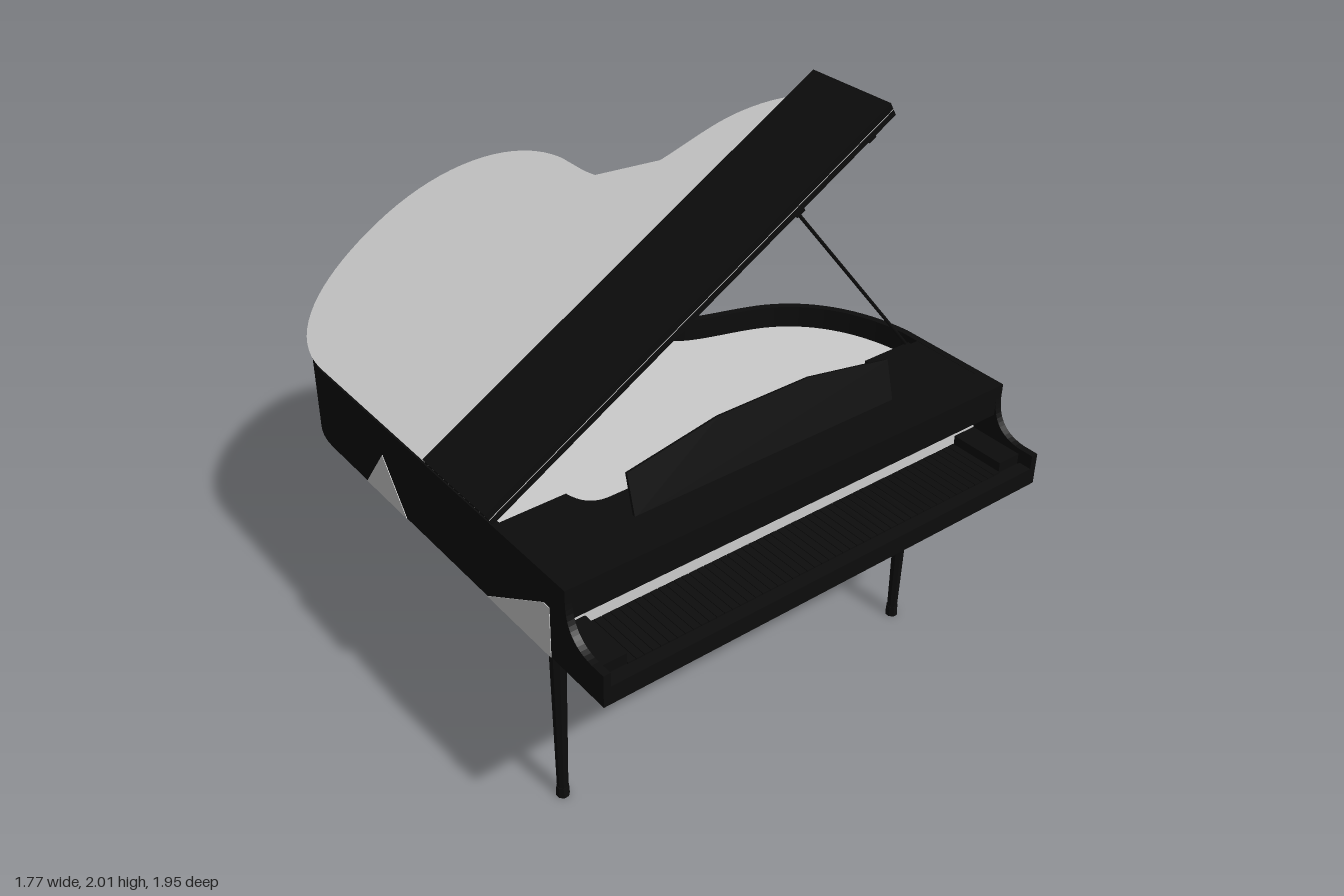
import * as THREE from 'three';

const BLACK = 0x0c0c0c;
const mat = (color) => new THREE.MeshStandardMaterial({ color, side: THREE.DoubleSide });
const black = mat(BLACK), grey = mat(0xcccccc), gold = mat(0x5c4f1e);
const legBlack = mat(BLACK);
legBlack.flatShading = true;

const BOTTOM = 0.785, TOP = 1.08, L = -0.865, R = 0.885, JOIN = 0.43;

function add(parent, name, geometry, material, x = 0, y = 0, z = 0) {
  const mesh = new THREE.Mesh(geometry, material);
  mesh.name = name;
  mesh.position.set(x, y, z);
  parent.add(mesh);
  return mesh;
}

// box given by its limits
function block(parent, name, material, x0, x1, y0, y1, z0, z1) {
  return add(parent, name, new THREE.BoxGeometry(x1 - x0, y1 - y0, z1 - z0), material,
    (x0 + x1) / 2, (y0 + y1) / 2, (z0 + z1) / 2);
}

// horizontal plate from an outline of (x, z) points
function plate(parent, name, material, points, y0, y1) {
  const shape = new THREE.Shape(points.map((p) => new THREE.Vector2(p.x, -p.y)));
  const g = new THREE.ExtrudeGeometry(shape, { depth: y1 - y0, bevelEnabled: false });
  g.rotateX(-Math.PI / 2);
  return add(parent, name, g, material, 0, y0, 0);
}

// upright plate from a shape in (z, y), spanning x0 to x1
function sidePlate(parent, name, material, shape, x0, x1) {
  const g = new THREE.ExtrudeGeometry(shape, { depth: x1 - x0, bevelEnabled: false, curveSegments: 12 });
  g.rotateY(-Math.PI / 2);
  g.scale(1, 1, 1);
  return add(parent, name, g, material, x1, 0, 0);
}

const pts = (list) => list.map(([x, z]) => new THREE.Vector2(x, z));

// curved side and tail, from the front right round to the front left, in (x, z)
function bentSide() {
  const p = new THREE.Path();
  p.moveTo(R, JOIN);
  p.lineTo(R, 0.36);
  p.bezierCurveTo(0.86, 0.12, 0.73, -0.04, 0.55, -0.1);
  p.bezierCurveTo(0.45, -0.135, 0.36, -0.15, 0.3, -0.19);
  p.bezierCurveTo(0.22, -0.24, 0.205, -0.33, 0.205, -0.42);
  p.lineTo(0.205, -0.52);
  p.bezierCurveTo(0.18, -0.8, -0.06, -0.975, -0.35, -0.975);
  p.bezierCurveTo(-0.64, -0.975, -0.865, -0.86, L, -0.6);
  p.lineTo(L, JOIN);
  return p.getPoints(18);
}

// outline moved inwards by d
function inset(points, d) {
  return points.map((p, i) => {
    const a = points[Math.max(i - 1, 0)], b = points[Math.min(i + 1, points.length - 1)];
    const t = b.clone().sub(a).normalize();
    return new THREE.Vector2(p.x + t.y * d, p.y - t.x * d);
  });
}

// outline with the hollow of the bent side bridged by a straight line
const bridged = (points, z0, z1) => points.filter((p) => !(p.x > 0.15 && p.x < 0.6 && p.y > z0 && p.y < z1));

function makeLeg(parent, name, x, z, turn) {
  const leg = new THREE.Group();
  leg.name = name;
  leg.position.set(x, 0, z);
  leg.rotation.y = turn;
  // bracket with concave shoulders
  const s = new THREE.Shape();
  s.moveTo(-0.135, BOTTOM);
  s.lineTo(0.135, BOTTOM);
  s.lineTo(0.135, 0.74);
  s.bezierCurveTo(0.07, 0.735, 0.04, 0.7, 0.03, 0.635);
  s.lineTo(-0.03, 0.635);
  s.bezierCurveTo(-0.04, 0.7, -0.07, 0.735, -0.135, 0.74);
  sidePlate(leg, 'legBracket', black, s, -0.03, 0.03);
  const shaft = new THREE.CylinderGeometry(0.028, 0.019, 0.6, 8);
  shaft.rotateY(Math.PI / 8);
  add(leg, 'legShaft', shaft, legBlack, 0, 0.34, 0);
  const foot = new THREE.CylinderGeometry(0.021, 0.023, 0.04, 8);
  foot.rotateY(Math.PI / 8);
  add(leg, 'legFoot', foot, legBlack, 0, 0.02, 0);
  parent.add(leg);
}

function makeCase(parent) {
  const outer = bentSide(), inner = inset(outer, 0.025);
  plate(parent, 'rim', black, [...outer, ...inner.slice().reverse()], BOTTOM, TOP);

  // arms beside the keyboard
  const arm = new THREE.Shape();
  arm.moveTo(JOIN, BOTTOM);
  arm.lineTo(0.975, BOTTOM);
  arm.lineTo(0.975, 0.9);
  arm.lineTo(0.92, 0.9);
  arm.bezierCurveTo(0.84, 0.905, 0.8, 0.95, 0.798, 1.03);
  arm.lineTo(0.798, TOP);
  arm.lineTo(JOIN, TOP);
  sidePlate(parent, 'leftArm', black, arm, R - 0.025, R);
  sidePlate(parent, 'rightArm', black, arm, L, L + 0.025);

  // bottom, soundboard and metal plate
  const front = pts([[L, 0.97], [R, 0.97]]);
  plate(parent, 'bottomBoard', black, [...front, ...inset(outer, 0.005)], BOTTOM, 0.8);
  const bend = inner.filter((p) => p.x > 0.3 && p.y > -0.2 && p.y < 0.42);
  plate(parent, 'bottomPanel', grey, [...pts([[-0.85, -0.22], [-0.85, 0.17], [-0.35, 0.4], [0.13, 0.75], [0.85, 0.75]]),
    ...bend, ...pts([[0.13, -0.36]])], BOTTOM - 0.002, BOTTOM + 0.002);
  const back = pts([[L + 0.025, 0.72], [R - 0.025, 0.72]]);
  plate(parent, 'soundboard', grey, [...back, ...bridged(inset(outer, 0.012), -0.33, -0.16)], 0.99, 1.0);
  plate(parent, 'metalPlate', gold, [...back, ...bridged(inset(outer, 0.012), -0.5, -0.1)], 0.93, 0.936);

  // straight grey panel across the hollow of the bent side
  plate(parent, 'hollowPanel', grey, pts([[0.214, -0.33], [0.364, -0.16], [0.36, -0.157], [0.21, -0.327]]), BOTTOM, TOP);

  // grey panels on the flanks
  const tri = (list) => new THREE.Shape(pts(list));
  const frontTri = tri([[0.38, BOTTOM], [0.72, BOTTOM], [0.72, 0.97], [0.69, 0.97]]);
  sidePlate(parent, 'leftFlankPanel', grey, frontTri, R - 0.002, R + 0.002);
  sidePlate(parent, 'rightFlankPanel', grey, frontTri, L - 0.002, L + 0.002);
  sidePlate(parent, 'rightRearPanel', grey, tri([[-0.36, BOTTOM], [-0.1, BOTTOM], [-0.23, 0.96]]), L - 0.002, L + 0.002);
}

function makeKeyboard(parent) {
  const x0 = L + 0.025, x1 = R - 0.025;
  block(parent, 'keyBed', black, x0, x1, BOTTOM, 0.842, 0.72, 0.975);
  block(parent, 'keySlip', black, x0, x1, BOTTOM, 0.85, 0.93, 0.975);
  block(parent, 'rightCheek', black, x0, -0.745, 0.84, 0.88, 0.71, 0.92);
  block(parent, 'leftCheek', black, 0.77, x1, 0.84, 0.88, 0.71, 0.92);
  const n = 52, w = (0.77 + 0.745) / n;
  for (let i = 0; i < n; i++) {
    block(parent, 'key', black, -0.745 + i * w, -0.745 + (i + 0.92) * w, 0.84, 0.849, 0.72, 0.925);
  }
  block(parent, 'keyBackPanel', grey, x0, x1, 0.84, 0.975, 0.71, 0.72);
  block(parent, 'frontRail', black, x0, x1, 0.97, TOP, 0.7, 0.798);

  // top deck with a round-cornered opening at its rear
  const s = new THREE.Shape();
  s.moveTo(x0, -0.75);
  s.lineTo(x1, -0.75);
  s.lineTo(x1, -JOIN);
  s.lineTo(0.63, -JOIN);
  s.quadraticCurveTo(0.62, -0.52, 0.53, -0.52);
  s.lineTo(-0.51, -0.52);
  s.quadraticCurveTo(-0.59, -0.52, -0.605, -JOIN);
  s.lineTo(x0, -JOIN);
  const g = new THREE.ExtrudeGeometry(s, { depth: 0.02, bevelEnabled: false });
  g.rotateX(-Math.PI / 2);
  add(parent, 'topDeck', g, black, 0, TOP - 0.021, 0);

  // leaning music desk and its strut
  const desk = new THREE.Shape(pts([[-0.51, -0.01], [0.53, -0.01], [0.53, 0.135], [0.2, 0.187], [-0.16, 0.187], [-0.51, 0.135]]));
  const deskMesh = add(parent, 'musicDesk',
    new THREE.ExtrudeGeometry(desk, { depth: 0.01, bevelEnabled: false }), black, 0, TOP, 0.633);
  deskMesh.rotation.x = -0.27;
  for (const x of [-0.25, 0.27]) {
    const strut = block(parent, 'deskStrut', black, x - 0.01, x + 0.01, TOP - 0.005, 1.145, 0.606, 0.61);
    strut.rotation.x = 0.3;
  }
}

function makeLid(parent) {
  const lid = new THREE.Group();
  lid.name = 'lid';
  lid.position.set(-0.86, TOP, 0);
  lid.rotation.z = THREE.MathUtils.degToRad(30.2);
  const outline = bentSide().map((p) => new THREE.Vector2(p.x - L, p.y));
  const hollowed = bridged(bentSide(), -0.33, -0.16).map((p) => new THREE.Vector2(p.x - L, p.y));
  plate(lid, 'lidBoard', black, outline, 0, 0.023);
  plate(lid, 'lidTopSheet', grey, hollowed, 0.023, 0.026);
  block(lid, 'foldedFlap', black, 0, 1.75, 0.026, 0.052, 0.08, JOIN);
  block(lid, 'propSocket', black, 1.3, 1.335, -0.015, 0, 0.385, 0.425);
  block(lid, 'lidCatch', black, 1.63, 1.66, -0.012, 0, 0.385, 0.425);
  parent.add(lid);

  // prop stick
  const a = new THREE.Vector3(0.83, 1.07, 0.405), b = new THREE.Vector3(0.28, 1.735, 0.405);
  const stick = add(parent, 'propStick', new THREE.CylinderGeometry(0.006, 0.006, a.distanceTo(b), 8), black);
  stick.position.copy(a).lerp(b, 0.5);
  stick.quaternion.setFromUnitVectors(new THREE.Vector3(0, 1, 0), b.clone().sub(a).normalize());
  block(parent, 'propRest', black, 0.65, 0.855, 1.0, 1.06, 0.395, 0.413);
}

export function createModel() {
  const model = new THREE.Group();
  model.name = 'grandPiano';
  makeCase(model);
  makeKeyboard(model);
  makeLid(model);
  makeLeg(model, 'rightFrontLeg', -0.73, 0.545, 0);
  makeLeg(model, 'leftFrontLeg', 0.75, 0.545, 0);
  makeLeg(model, 'rearLeg', -0.35, -0.72, Math.PI / 2);
  return model;
}
